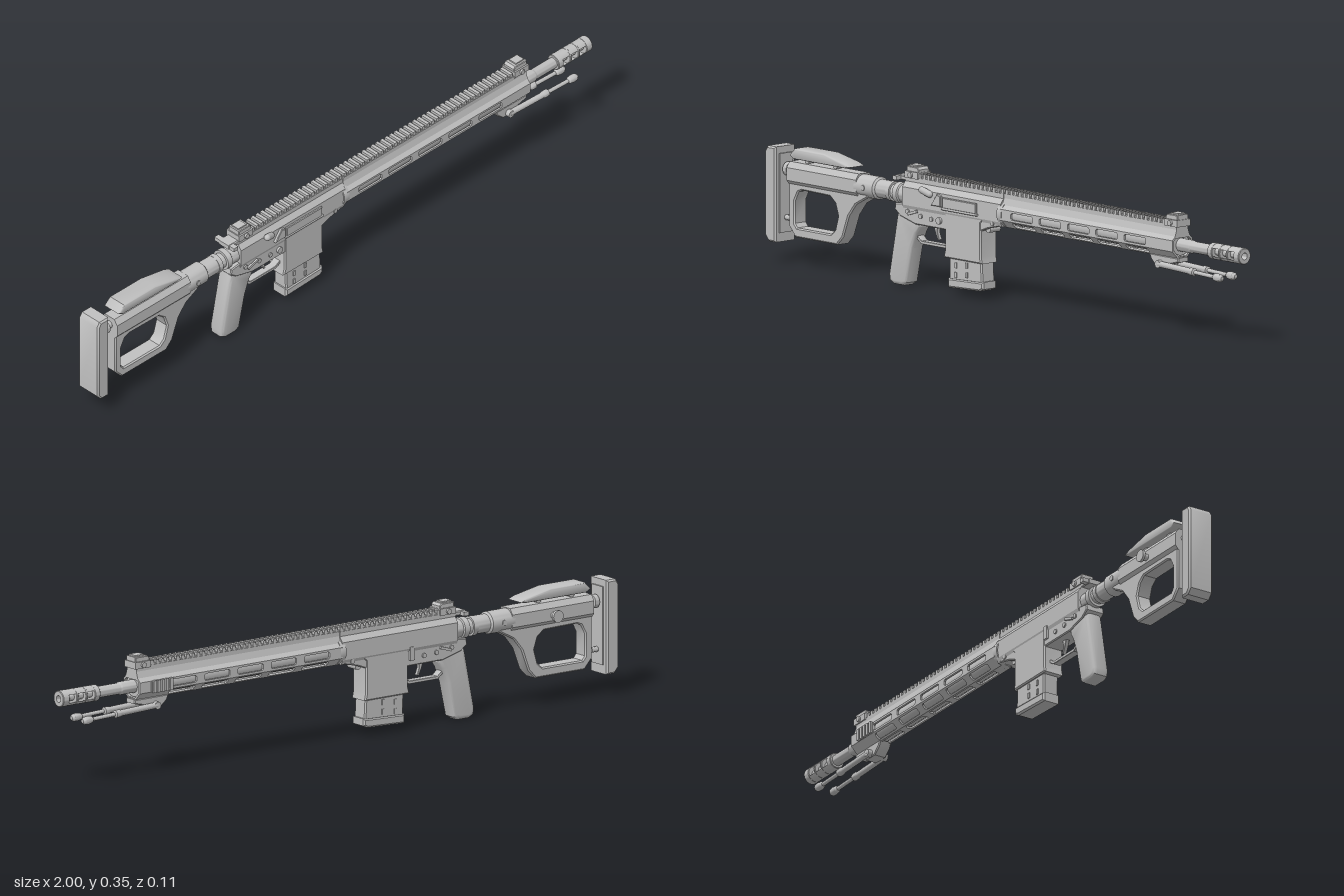
import * as THREE from 'three';
import { mergeGeometries, toCreasedNormals } from 'three/addons/utils/BufferGeometryUtils.js';

const grey = new THREE.MeshStandardMaterial({ color: 0xc0c0c0, side: THREE.DoubleSide });
grey.name = 'satin grey';
const AXIS = 0.264; // height of the bore line

export function createModel() {
  const model = new THREE.Group();
  model.name = 'rifle';

  const add = (name, geo, parent = model) => {
    const mesh = new THREE.Mesh(geo, grey);
    mesh.name = name;
    parent.add(mesh);
    return mesh;
  };
  const group = (name) => {
    const g = new THREE.Group();
    g.name = name;
    model.add(g);
    return g;
  };
  const path = (pts, Type = THREE.Shape) => new Type(pts.map(([x, y]) => new THREE.Vector2(x, y)));
  const boxGeo = (x0, x1, y0, y1, z0, z1) =>
    new THREE.BoxGeometry(x1 - x0, y1 - y0, z1 - z0).translate((x0 + x1) / 2, (y0 + y1) / 2, (z0 + z1) / 2);
  const box = (name, x0, x1, y0, y1, z0, z1, parent) => add(name, boxGeo(x0, x1, y0, y1, z0, z1), parent);

  // Side outline in x, y, extruded symmetrically across z with a rounded edge
  const prism = (name, pts, half, bevel = 0.004, holes = [], parent) => {
    const shape = path(pts);
    shape.holes = holes.map((h) => path(h, THREE.Path));
    const geo = new THREE.ExtrudeGeometry(shape, {
      depth: 2 * (half - bevel), bevelEnabled: bevel > 0, bevelThickness: bevel,
      bevelSize: bevel, bevelOffset: -bevel, bevelSegments: bevel > 0.006 ? 4 : 1,
    }).translate(0, 0, -(half - bevel));
    return add(name, toCreasedNormals(geo, 0.6), parent);
  };
  // Cross-section in z, y, extruded along x
  const section = (name, pts, x0, x1, parent) =>
    add(name, new THREE.ExtrudeGeometry(path(pts), { depth: x1 - x0, bevelEnabled: false })
      .rotateY(Math.PI / 2).translate(x0, 0, 0), parent);
  // Round part turned about an axis along x, from [x, radius] pairs
  const turned = (name, prof, y = AXIS, z = 0, parent) =>
    add(name, toCreasedNormals(new THREE.LatheGeometry(prof.map(([x, r]) => new THREE.Vector2(r, x)), 28)
      .rotateZ(-Math.PI / 2).translate(0, y, z), 0.5), parent);
  // Round pin across z
  const pin = (name, x, y, r, z0, z1, parent) =>
    add(name, new THREE.CylinderGeometry(r, r, z1 - z0, 20).rotateX(Math.PI / 2)
      .translate(x, y, (z0 + z1) / 2), parent);
  const mirrored = (half) => [...half, ...half.slice().reverse().map(([z, y]) => [-z, y])];

  // Butt pad and its adjusters
  prism('buttPad', [[-1, 0.08], [-0.985, 0.063], [-0.955, 0.063], [-0.955, 0.34], [-0.99, 0.34], [-1, 0.325]], 0.04, 0.005);
  box('buttPlate', -0.957, -0.95, 0.09, 0.32, -0.025, 0.025);
  turned('buttAdjuster', [[-0.955, 0], [-0.955, 0.012], [-0.945, 0.012], [-0.945, 0.02], [-0.93, 0.02], [-0.93, 0.012], [-0.91, 0.012]], 0.275);
  turned('buttRod', [[-0.957, 0.008], [-0.928, 0.008], [-0.928, 0]], 0.133);

  // Skeleton stock with open loop
  const hole = [[-0.875, 0.218], [-0.89, 0.19], [-0.89, 0.125], [-0.88, 0.113], [-0.735, 0.113],
    [-0.718, 0.128], [-0.706, 0.17], [-0.718, 0.205], [-0.74, 0.222], [-0.86, 0.224]];
  prism('stockLoop', [[-0.915, 0.25], [-0.915, 0.115], [-0.888, 0.085], [-0.71, 0.085], [-0.685, 0.11],
    [-0.66, 0.175], [-0.63, 0.212], [-0.58, 0.238], [-0.58, 0.25]], 0.024, 0.004, [hole]);
  section('stockBody', mirrored([[0.022, 0.236], [0.032, 0.248], [0.032, 0.285], [0.02, 0.302]]), -0.915, -0.62);
  turned('stockSleeve', [[-0.63, 0], [-0.63, 0.033], [-0.55, 0.033], [-0.545, 0.027], [-0.5, 0.027]], 0.267);
  prism('cheekRest', [[-0.907, 0.322], [-0.885, 0.343], [-0.76, 0.343], [-0.67, 0.326], [-0.65, 0.317], [-0.67, 0.312], [-0.89, 0.312]], 0.031, 0.007);
  for (const x of [-0.85, -0.73]) pin('cheekPost', x, 0.3, 0.01, -0.012, 0.012).scale.set(1, 1.04, 1);
  const knob = group('stockKnob');
  pin('knobStem', -0.768, 0.264, 0.01, -0.05, -0.03, knob);
  pin('knobCap', -0.768, 0.264, 0.018, -0.056, -0.048, knob);
  for (const s of [-1, 1]) pin('stockScrew', -0.59, 0.267, 0.008, s > 0 ? 0.03 : -0.035, s > 0 ? 0.035 : -0.03);

  // Stock tube and castle nut
  turned('stockTube', [[-0.56, 0.024], [-0.5, 0.024], [-0.5, 0.029], [-0.485, 0.029], [-0.485, 0.023], [-0.468, 0.023],
    [-0.468, 0.031], [-0.45, 0.031], [-0.447, 0.027], [-0.4, 0.027]], 0.266);

  // Upper receiver
  section('upperReceiver', mirrored([[0.028, 0.226], [0.034, 0.24], [0.034, 0.292], [0.022, 0.308], [0.022, 0.322]]), -0.42, -0.002);
  turned('barrelNut', [[-0.012, 0.037], [-0.012, 0.041], [0.008, 0.041], [0.008, 0.037]]);
  prism('boltCover', [[-0.243, 0.252], [-0.1, 0.252], [-0.1, 0.283], [-0.243, 0.283]], 0.004, 0.002).position.z = 0.037;
  pin('hingeRod', -0.172, 0, 0.004, -0.075, 0.075).rotation.y = Math.PI / 2;
  model.getObjectByName('hingeRod').position.set(-0.172, 0.25, 0.038 + 0.0);
  model.getObjectByName('hingeRod').geometry.translate(0.172, 0, 0);
  prism('caseDeflector', [[-0.29, 0.255], [-0.25, 0.255], [-0.25, 0.285], [-0.265, 0.29]], 0.007, 0.002).position.z = 0.036;
  const assist = add('forwardAssist', new THREE.CapsuleGeometry(0.01, 0.028, 4, 14).rotateZ(Math.PI / 2 - 0.4));
  assist.rotation.y = 0.35;
  assist.position.set(-0.313, 0.29, 0.04);
  prism('chargingHandle', [[-0.457, 0.308], [-0.415, 0.308], [-0.415, 0.322], [-0.457, 0.322]], 0.022, 0.003);
  for (const s of [-1, 1]) box('chargingLatch', -0.455, -0.438, 0.309, 0.321, s > 0 ? 0.02 : -0.04, s > 0 ? 0.04 : -0.02);

  // Lower receiver, magazine well and magazine
  prism('lowerReceiver', [[-0.455, 0.24], [-0.458, 0.222], [-0.435, 0.205], [-0.37, 0.188], [-0.235, 0.188], [-0.1, 0.2],
    [-0.06, 0.215], [-0.005, 0.228], [-0.005, 0.245], [-0.415, 0.245]], 0.03, 0.003);
  prism('magazineWell', [[-0.243, 0.24], [-0.243, 0.128], [-0.248, 0.108], [-0.086, 0.108], [-0.09, 0.128], [-0.09, 0.225], [-0.075, 0.24]], 0.032, 0.004);
  prism('magazine', [[-0.232, 0.12], [-0.23, 0.045], [-0.09, 0.05], [-0.094, 0.12]], 0.025, 0.004);
  for (const s of [-1, 1]) {
    for (const [x, y] of [[-0.2, 0.09], [-0.155, 0.095], [-0.2, 0.062], [-0.155, 0.067]])
      box('magazineRib', x - 0.004, x + 0.004, y - 0.008, y + 0.008, s * 0.026 - 0.002, s * 0.026 + 0.002);
  }
  prism('magazineBase', [[-0.234, 0.05], [-0.234, 0.022], [-0.1, 0.027], [-0.085, 0.034], [-0.085, 0.055]], 0.028, 0.005);
  for (const [x, y] of [[-0.4, 0.222], [-0.04, 0.232], [-0.3, 0.212], [-0.345, 0.215]]) pin('receiverPin', x, y, 0.007, -0.034, 0.034);
  pin('magazineRelease', -0.265, 0.212, 0.01, 0, 0.037);
  pin('frontCatch', -0.07, 0.21, 0.01, -0.02, 0.02);
  for (const s of [-1, 1]) {
    const lever = box('safetyLever', -0.02, 0.02, -0.004, 0.004, -0.003, 0.003);
    lever.position.set(-0.375, 0.222, s * 0.036);
    lever.rotation.z = 0.3;
  }
  box('boltCatch', -0.262, -0.246, 0.205, 0.245, -0.037, -0.025);

  // Pistol grip, trigger and guard
  prism('pistolGrip', [[-0.452, 0.215], [-0.458, 0.19], [-0.49, 0.03], [-0.487, 0.01], [-0.47, 0.002], [-0.43, 0.002],
    [-0.415, 0.012], [-0.392, 0.115], [-0.375, 0.16], [-0.362, 0.18], [-0.362, 0.215]], 0.026, 0.012);
  prism('triggerGuard', [[-0.385, 0.146], [-0.365, 0.13], [-0.26, 0.13], [-0.24, 0.142], [-0.24, 0.152], [-0.262, 0.139], [-0.362, 0.139], [-0.385, 0.158]], 0.012, 0.001);
  prism('trigger', [[-0.318, 0.192], [-0.31, 0.168], [-0.3, 0.148], [-0.294, 0.15], [-0.302, 0.17], [-0.3, 0.192]], 0.006, 0.001);

  // Octagonal handguard: eight panels, the side and lower ones slotted
  const guard = group('handguard');
  const apothem = 0.039, w = apothem * Math.tan(Math.PI / 8), len = 0.735, wall = 0.006;
  for (let i = 0; i < 8; i++) {
    const shape = path([[0, -w], [len, -w], [len, w], [0, w]]);
    if (i !== 2 && i !== 1 && i !== 3) {
      for (let k = 0; k < 5; k++) {
        const c = 0.093 + k * 0.1205, h = 0.01, l = 0.046;
        shape.holes.push(path([[c - l, -h + 0.004], [c - l, h - 0.004], [c - l + 0.004, h], [c + l - 0.004, h],
          [c + l, h - 0.004], [c + l, -h + 0.004], [c + l - 0.004, -h], [c - l + 0.004, -h]], THREE.Path));
      }
    }
    const panel = add('guardPanel', new THREE.ExtrudeGeometry(shape, { depth: wall, bevelEnabled: false })
      .translate(0, 0, apothem - wall), guard);
    panel.rotation.x = -i * Math.PI / 4;
    panel.position.y = AXIS;
  }
  turned('guardLiner', [[0.002, 0.02], [0.002, 0.031], [0.73, 0.031], [0.73, 0.02]], AXIS, 0, guard);
  section('railBridge', mirrored([[0.03, 0.285], [0.022, 0.31], [0.022, 0.323]]), 0, len, guard);

  // Toothed top rail along receiver and handguard
  const teeth = [boxGeo(-0.418, len, 0.318, 0.327, -0.018, 0.018)];
  for (let x = -0.365; x < 0.685; x += 0.0185) teeth.push(boxGeo(x, x + 0.0105, 0.322, 0.335, -0.021, 0.021));
  add('topRail', mergeGeometries(teeth));

  // Ribbed accessory rail on the back of the handguard
  const ribs = [boxGeo(0.62, 0.695, 0.25, 0.278, -0.043, -0.036)];
  for (let k = 0; k < 5; k++) ribs.push(boxGeo(0.622 + k * 0.015, 0.632 + k * 0.015, 0.246, 0.282, -0.049, -0.041));
  add('sideRail', mergeGeometries(ribs));

  // Folded sights
  for (const [x, dir, name] of [[-0.392, 1, 'rearSight'], [0.713, -1, 'frontSight']]) {
    const sight = group(name);
    sight.position.x = x;
    sight.scale.x = dir;
    box('sightClamp', -0.028, 0.028, 0.318, 0.338, -0.026, 0.026, sight);
    prism('sightBody', [[-0.025, 0.335], [-0.025, 0.352], [0.02, 0.352], [0.027, 0.345], [0.027, 0.335]], 0.021, 0.002, [], sight);
    box('sightLeaf', -0.02, 0.012, 0.35, 0.356, -0.014, 0.014, sight);
    pin('sightScrew', 0, 0.328, 0.008, -0.032, 0.032, sight);
  }

  // Barrel and muzzle brake with side ports
  turned('barrel', [[0.7, 0], [0.7, 0.019], [0.78, 0.019], [0.785, 0.0165], [0.87, 0.0165]]);
  const brake = group('muzzleBrake');
  const ring = (x0, x1) => turned('brakeRing', [[x0, 0.01], [x0, 0.022], [x0 + 0.002, 0.024], [x1 - 0.002, 0.024], [x1, 0.022], [x1, 0.01], [x0, 0.01]], AXIS, 0, brake);
  [[0.865, 0.885], [0.91, 0.918], [0.943, 0.951], [0.976, 1]].forEach(([a, b]) => ring(a, b));
  turned('brakeCore', [[0.87, 0.011], [0.985, 0.011]], AXIS, 0, brake);
  for (const mid of [Math.PI / 2, Math.PI * 1.5])
    add('brakeShell', new THREE.CylinderGeometry(0.0235, 0.0235, 0.12, 16, 1, true, mid - 1.05, 2.1)
      .rotateZ(-Math.PI / 2).translate(0.932, AXIS, 0), brake);

  // Folded bipod under the front of the handguard
  const bipod = group('bipod');
  prism('bipodMount', [[0.615, 0.228], [0.622, 0.212], [0.645, 0.192], [0.69, 0.192], [0.7, 0.205], [0.74, 0.215], [0.74, 0.228]], 0.02, 0.003, [], bipod);
  pin('bipodHinge', 0.665, 0.203, 0.011, -0.034, 0.034, bipod);
  for (const s of [-1, 1]) {
    const leg = new THREE.Group();
    leg.name = 'bipodLeg';
    leg.position.set(0.665, 0.203, s * 0.026);
    leg.rotation.z = -0.035;
    bipod.add(leg);
    turned('legTube', [[0, 0], [0, 0.009], [0.13, 0.009], [0.135, 0.011], [0.15, 0.011], [0.153, 0.006], [0.24, 0.006]], 0, 0, leg);
    turned('legFoot', [[0.232, 0.006], [0.237, 0.01], [0.25, 0.012], [0.262, 0.011], [0.269, 0.006], [0.271, 0]], 0, 0, leg);
  }

  return model;
}
